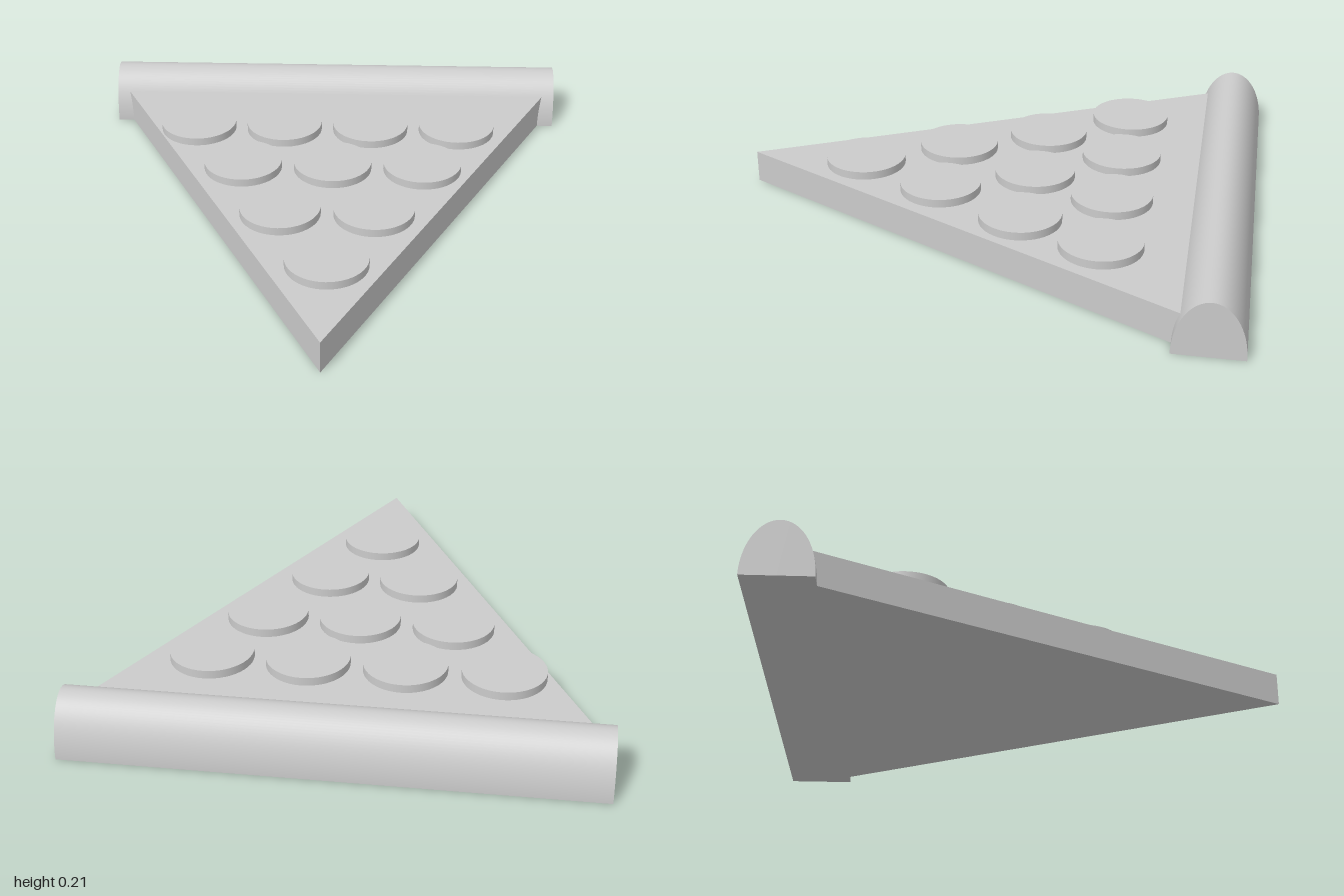
import * as THREE from 'three';

export function createModel() {
  const model = new THREE.Group();
  const material = new THREE.MeshStandardMaterial({ color: 0xcccccc });
  const add = (name, geometry, x = 0, y = 0, z = 0, parent = model) => {
    const mesh = new THREE.Mesh(geometry, material);
    mesh.name = name;
    mesh.position.set(x, y, z);
    parent.add(mesh);
    return mesh;
  };

  const baseTop = 0.128;
  const crustZ = -0.872;
  const halfWidth = 0.957;

  // Triangular slice, its back edge hidden inside the crust
  const outline = new THREE.Shape();
  outline.moveTo(0, -1);
  outline.lineTo(halfWidth, -crustZ);
  outline.lineTo(-halfWidth, -crustZ);
  outline.closePath();
  const slice = new THREE.ExtrudeGeometry(outline, { depth: baseTop, bevelEnabled: false });
  slice.rotateX(-Math.PI / 2);
  add('slice', slice);

  // Crust: half an elliptical cylinder with a flat underside
  const crust = new THREE.Group();
  crust.name = 'crust';
  model.add(crust);
  const roll = new THREE.CylinderGeometry(1, 1, halfWidth * 2, 48, 1, false, 0, Math.PI);
  roll.rotateZ(Math.PI / 2);
  roll.scale(1, 0.213, 0.128);
  add('crustRoll', roll, 0, 0, crustZ, crust);
  const underside = new THREE.PlaneGeometry(halfWidth * 2, 0.256);
  underside.rotateX(Math.PI / 2);
  add('crustUnderside', underside, 0, 0, crustZ, crust);

  // Round toppings in rows of four, three, two and one
  const toppings = new THREE.Group();
  toppings.name = 'toppings';
  model.add(toppings);
  const thickness = 0.032;
  const disc = new THREE.CylinderGeometry(0.156, 0.156, thickness, 48);
  const rows = [[4, -0.563, -0.46], [3, -0.352, -0.142], [2, -0.183, 0.2], [1, 0.007, 0.54]];
  for (const [count, startX, z] of rows) {
    for (let i = 0; i < count; i++) {
      add('topping', disc, startX + i * 0.36, baseTop + thickness / 2, z, toppings);
    }
  }

  return model;
}
